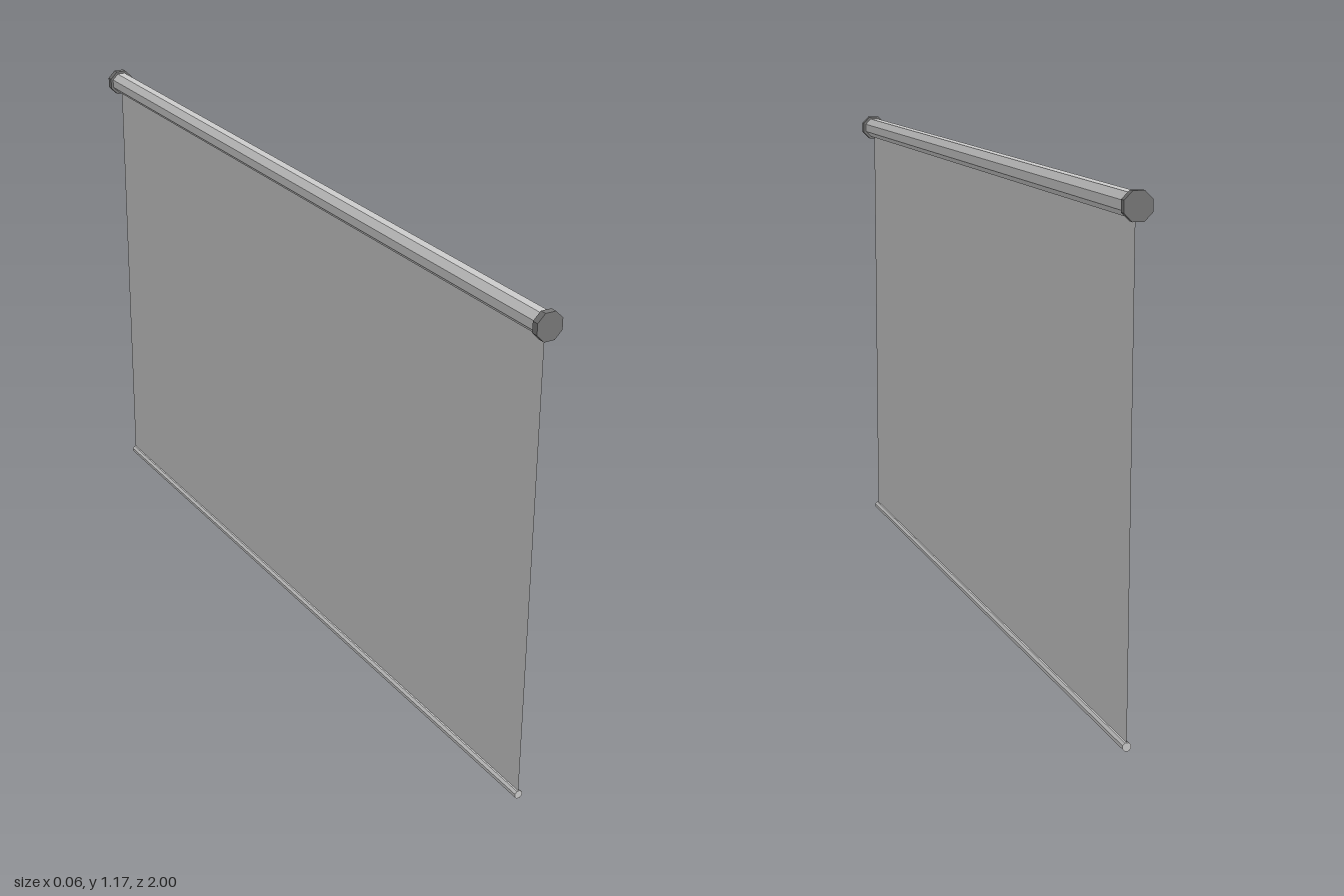
import * as THREE from 'three';

const TUBE_Y = 1.14;
const BAR_R = 0.0095;

// Octagonal rod lying along z, with flats facing up, down and sideways
function rod(name, apothem, length, y, z, material) {
  const radius = apothem / Math.cos(Math.PI / 8);
  const geometry = new THREE.CylinderGeometry(radius, radius, length, 8);
  geometry.rotateY(Math.PI / 8);
  geometry.rotateX(Math.PI / 2);
  const mesh = new THREE.Mesh(geometry, material);
  mesh.name = name;
  mesh.position.set(0, y, z);
  return mesh;
}

export function createModel() {
  const group = new THREE.Group();
  group.name = 'rollerScreen';
  const grey = new THREE.MeshStandardMaterial({ color: 0xcccccc, flatShading: true });
  const dark = new THREE.MeshStandardMaterial({ color: 0x787878, flatShading: true });
  const cloth = new THREE.MeshStandardMaterial({ color: 0xcccccc, side: THREE.DoubleSide });

  // Roller tube and its two end caps
  group.add(rod('rollerTube', 0.025, 1.97, TUBE_Y, 0, grey));
  for (const side of [1, -1]) {
    group.add(rod(side > 0 ? 'frontEndCap' : 'backEndCap', 0.031, 0.016, TUBE_Y, side * 0.992, dark));
  }

  // Hanging sheet, a single thin surface from the tube down into the bar
  const sheet = new THREE.Mesh(new THREE.PlaneGeometry(1.968, TUBE_Y - BAR_R), cloth);
  sheet.name = 'screenSheet';
  sheet.rotation.y = Math.PI / 2;
  sheet.position.y = (TUBE_Y + BAR_R) / 2;
  group.add(sheet);

  // Weight bar along the bottom edge
  group.add(rod('bottomBar', BAR_R, 1.97, BAR_R, 0, grey));
  return group;
}
